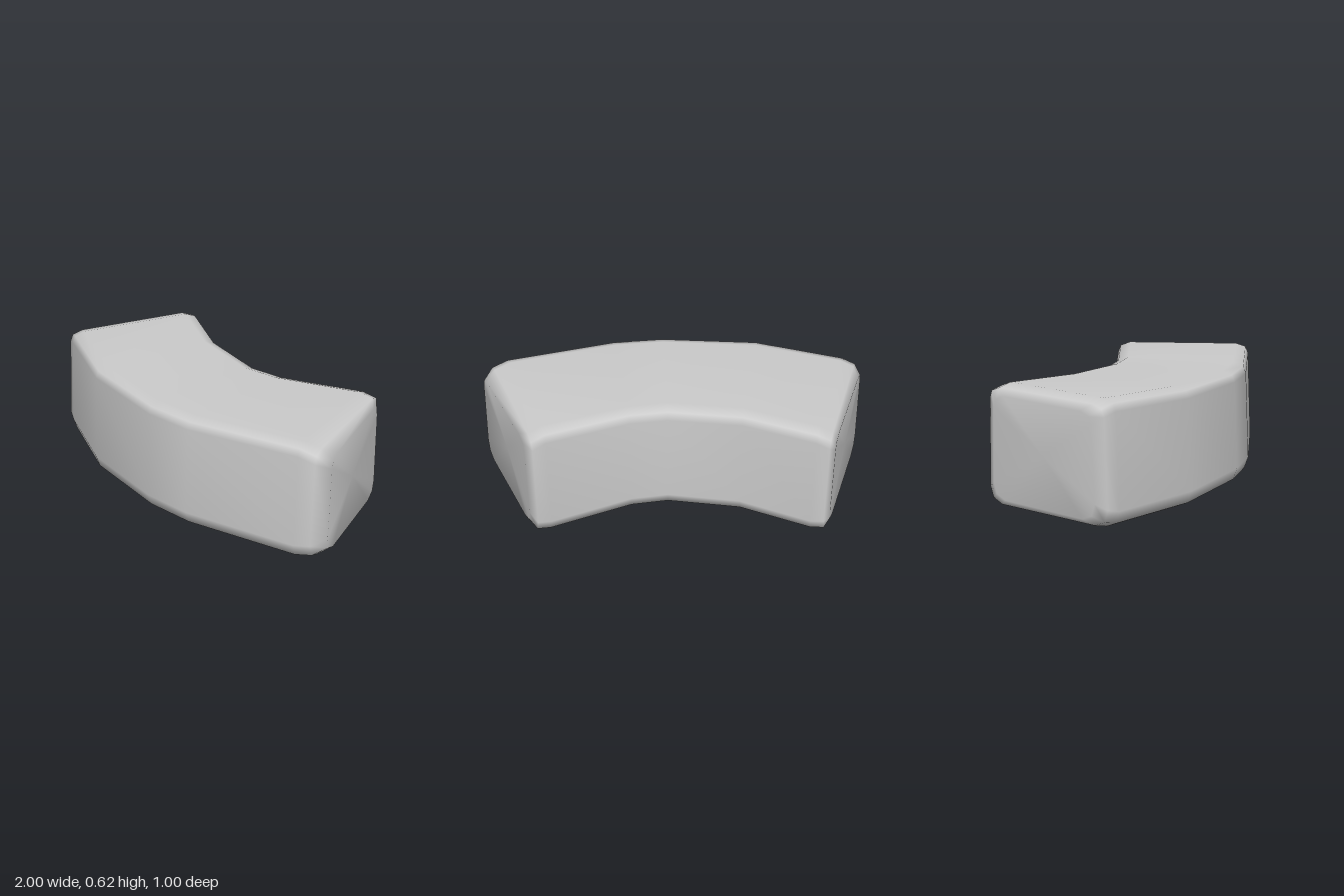
import * as THREE from 'three';

// Stations along the arc: outer x, outer z, inner x, inner z, top y, height inset
const STATIONS = [
  [-1.0, 0.19, -0.79, -0.46, 0.62, 0.05],
  [-0.975, 0.245, -0.755, -0.5, 0.622, 0.018],
  [-0.91, 0.275, -0.69, -0.475, 0.622, 0],
  [-0.46, 0.45, -0.34, -0.31, 0.615, 0],
  [0.05, 0.5, 0.03, -0.25, 0.61, 0],
  [0.31, 0.47, 0.22, -0.28, 0.612, 0],
  [0.88, 0.28, 0.625, -0.455, 0.624, 0],
  [0.96, 0.245, 0.69, -0.485, 0.62, 0.018],
  [1.0, 0.17, 0.735, -0.44, 0.62, 0.05],
];

// Rounded block section: [from inner side?, distance in from that side, from top?, distance in from top or bottom]
const SECTION = [
  [0, 0.08, 0, 0], [0, 0.02, 0, 0.025], [0, 0, 0, 0.085],
  [0, 0.02, 1, 0.055], [0, 0.035, 1, 0.018], [0, 0.09, 1, 0],
  [1, 0.08, 1, 0], [1, 0.025, 1, 0.02], [1, 0.01, 1, 0.06],
  [1, 0, 0, 0.08], [1, 0.02, 0, 0.025], [1, 0.08, 0, 0],
];

function curvedBlock() {
  const pos = [], index = [], n = SECTION.length, last = STATIONS.length - 1;
  for (const [ox, oz, ix, iz, top, inset] of STATIONS) {
    const width = Math.hypot(ix - ox, iz - oz);
    for (const [inner, d, fromTop, h] of SECTION) {
      const t = inner ? 1 - d / width : d / width;
      const x = ox + (ix - ox) * t, z = oz + (iz - oz) * t;
      const bottom = 0.009 + 0.018 * z; // underside tips slightly up to the front
      pos.push(x, fromTop ? top - inset - h : bottom + inset + h, z);
    }
  }
  // Skin between stations
  for (let i = 0; i < last; i++) {
    for (let j = 0; j < n; j++) {
      const k = (j + 1) % n;
      const a = i * n + j, b = a + n, c = i * n + k, d = c + n;
      index.push(a, b, c, b, d, c);
    }
  }
  // Slightly dished end faces
  for (const s of [0, last]) {
    const [ox, oz, ix, iz] = STATIONS[s];
    const centre = pos.length / 3;
    pos.push((ox + ix) / 2 + (s ? -0.006 : 0.003), 0.32, (oz + iz) / 2);
    for (let j = 0; j < n; j++) {
      const a = s * n + j, b = s * n + (j + 1) % n;
      index.push(centre, ...(s ? [b, a] : [a, b]));
    }
  }
  const geo = new THREE.BufferGeometry();
  geo.setAttribute('position', new THREE.Float32BufferAttribute(pos, 3));
  geo.setIndex(index);
  geo.computeVertexNormals(); // area weighted, so the broad faces stay flat
  return geo;
}

export function createModel() {
  const group = new THREE.Group();
  group.name = 'curvedStone';
  const block = new THREE.Mesh(curvedBlock(), new THREE.MeshStandardMaterial({ color: 0xcccccc }));
  block.name = 'curvedBlock';
  group.add(block);
  return group;
}
